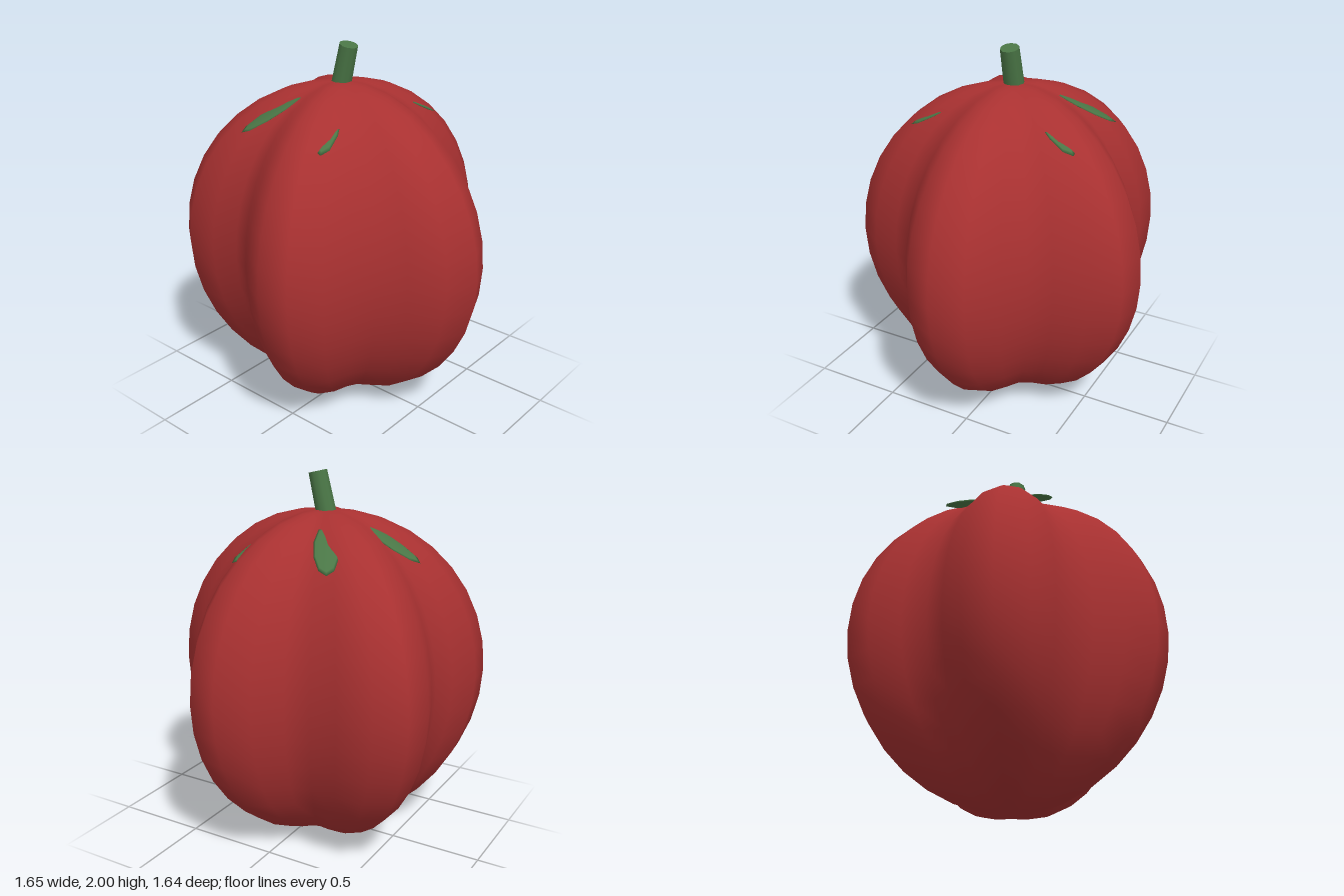
import * as THREE from 'three';
import { mergeVertices } from 'three/addons/utils/BufferGeometryUtils.js';

const AXIS_X = -0.06; // the fruit's core sits slightly off centre

// Horizontal radius of the five-lobed cross-section at angle a
const lobeRadius = (a) => 0.755 + 0.12 * Math.cos(5 * a) + 0.02 * Math.cos(2 * a);

// Sphere whose rings are reshaped into five lobes
function lobedBody() {
  const geometry = new THREE.SphereGeometry(1, 32, 18);
  const p = geometry.attributes.position;
  for (let i = 0; i < p.count; i++) {
    const x = p.getX(i), z = p.getZ(i);
    const r = lobeRadius(Math.atan2(z, x));
    p.setXYZ(i, x * r, 0.9 + p.getY(i) * 0.9, z * r);
  }
  // Weld the seam so the normals run smoothly round
  geometry.deleteAttribute('uv');
  geometry.deleteAttribute('normal');
  const welded = mergeVertices(geometry, 1e-4);
  welded.computeVertexNormals();
  return welded;
}

export function createModel() {
  const red = new THREE.MeshStandardMaterial({ color: 0xa93131 });
  red.name = 'fruit red';
  const green = new THREE.MeshStandardMaterial({ color: 0x4a7646 });
  green.name = 'leaf green';

  const model = new THREE.Group();
  model.name = 'lobedFruit';
  const add = (name, geometry, material, parent = model) => {
    const mesh = new THREE.Mesh(geometry, material);
    mesh.name = name;
    parent.add(mesh);
    return mesh;
  };

  // Fruit body
  add('body', lobedBody(), red).position.x = AXIS_X;

  // Short stem leaning towards +x
  const stem = add('stem', new THREE.CylinderGeometry(0.05, 0.055, 0.24, 10), green);
  stem.position.set(-0.037, 1.872, 0);
  stem.rotation.z = -0.24;

  // Six thin leaves round the top, partly sunk into the lobes
  const leafGeometry = new THREE.SphereGeometry(1, 10, 6).scale(0.195, 0.008, 0.065);
  for (let i = 0; i < 6; i++) {
    const spoke = new THREE.Group();
    spoke.name = 'leafSpoke';
    spoke.position.set(AXIS_X, 0, 0);
    spoke.rotation.y = i * Math.PI / 3;
    const leaf = add('leaf', leafGeometry, green, spoke);
    leaf.position.set(0.37, 1.66, 0);
    leaf.rotation.z = -0.48;
    model.add(spoke);
  }
  return model;
}
